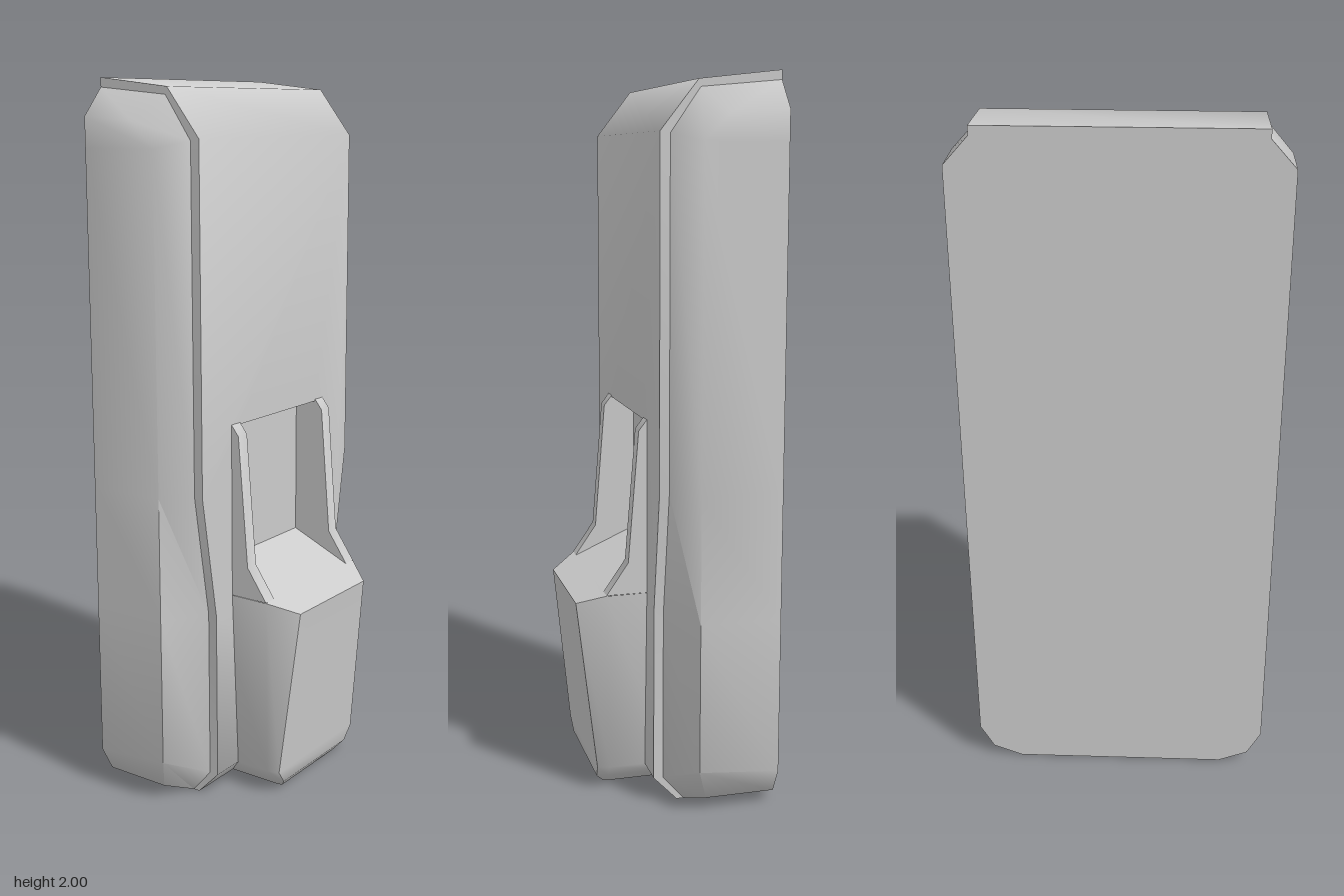
import * as THREE from 'three';
import { mergeGeometries, toCreasedNormals } from 'three/addons/utils/BufferGeometryUtils.js';

const BACK = -0.257;
const CREASE = 0.9;

// Skin rows of points (rows run top to bottom, columns left to right); skip(row, col) leaves a gap.
function loft(rows, skip = () => false) {
  const pos = [];
  const tri = (a, b, c) => {
    const [A, B, C] = [a, b, c].map((p) => new THREE.Vector3(...p));
    if (B.sub(A).cross(C.sub(A)).length() > 1e-8) pos.push(...a, ...b, ...c);
  };
  for (let i = 0; i < rows.length - 1; i++) {
    for (let j = 0; j < rows[i].length - 1; j++) {
      if (skip(i, j)) continue;
      const a = rows[i][j], b = rows[i + 1][j], c = rows[i + 1][j + 1], d = rows[i][j + 1];
      tri(a, b, c);
      tri(a, c, d);
    }
  }
  const g = new THREE.BufferGeometry();
  g.setAttribute('position', new THREE.Float32BufferAttribute(pos, 3));
  return g;
}

const flip = (row) => row.map(([x, y, z]) => [-x, y, z]).reverse();
const symmetric = (half) => [...flip(half), ...half];

// Flat polygon from half an outline, mirrored in x
function flatShape(half) {
  const pts = [...half, ...half.map(([x, y]) => [-x, y]).reverse()];
  return new THREE.Shape(pts.map(([x, y]) => new THREE.Vector2(x, y)));
}

function bare(geometry) {
  const g = geometry.index ? geometry.toNonIndexed() : geometry;
  g.deleteAttribute('uv');
  g.deleteAttribute('normal');
  return g;
}

export function createModel() {
  const group = new THREE.Group();
  const material = new THREE.MeshStandardMaterial({ color: 0xcccccc, side: THREE.DoubleSide });
  const add = (name, geometry) => {
    const mesh = new THREE.Mesh(toCreasedNormals(bare(geometry), CREASE), material);
    mesh.name = name;
    group.add(mesh);
  };

  // Side rails: panel edge, chamfer edge, back edge at each height
  const rail = [
    [[0.363, 1.975, BACK], [0.363, 1.975, BACK], [0.363, 1.975, BACK]],
    [[0.363, 1.955, -0.04], [0.43, 1.89, -0.1], [0.43, 1.9, BACK]],
    [[0.363, 1.84, 0.04], [0.43, 1.82, -0.03], [0.43, 1.82, BACK]],
    [[0.363, 0.9, 0.04], [0.43, 0.9, -0.03], [0.43, 0.9, BACK]],
    [[0.305, 0.55, 0.04], [0.43, 0.55, -0.03], [0.43, 0.55, BACK]],
    [[0.305, 0.07, 0.04], [0.43, 0.13, -0.03], [0.43, 0.11, BACK]],
    [[0.305, 0, -0.02], [0.39, 0.035, -0.06], [0.39, 0.035, BACK]],
    [[0.305, 0, BACK], [0.305, 0, BACK], [0.305, 0, BACK]],
  ];
  add('leftRail', loft(rail));
  add('rightRail', loft(rail.map(flip)));

  // Raised centre panel wrapping over the top and under the bottom: half width, y, z
  const panel = [
    [0.363, 2, BACK], [0.363, 1.975, -0.035], [0.363, 1.845, 0.067], [0.363, 0.9, 0.067],
    [0.305, 0.55, 0.067], [0.305, 0.07, 0.067], [0.305, 0, 0], [0.305, 0, BACK],
  ];
  const wrap = loft(
    panel.map(([w, y, z]) => symmetric([[w, y, z], [w, y, BACK]])),
    (i, j) => j === 1 && i >= 2 && i <= 4,
  );
  // Flat front of the panel with the recess opening
  const front = flatShape(panel.slice(2, 6));
  const hole = flatShape([[0.19, 1.075], [0.19, 0.6]]);
  front.holes.push(new THREE.Path(hole.getPoints()));
  const frontFace = new THREE.ShapeGeometry(front).translate(0, 0, 0.067);
  add('frontPanel', mergeGeometries([wrap, bare(frontFace)]));

  // Flat back
  const back = flatShape([[0.363, 2], [0.363, 1.975], [0.43, 1.9], [0.43, 0.11], [0.39, 0.035], [0.305, 0]]);
  add('backPlate', new THREE.ShapeGeometry(back).rotateY(Math.PI).translate(0, 0, BACK));

  // Recess ceiling and floor
  add('recess', loft([[1.075, 0.067], [1.07, 0], [0.67, 0]].map(([y, z]) => symmetric([[0.19, y, z]]))));

  // Thin walls on both sides of the recess, profile as z, y
  const wall = new THREE.Shape([
    [0, 0.59], [0.182, 0.59], [0.12, 0.68], [0.09, 1.05], [0.067, 1.08], [0, 1.08],
  ].map(([z, y]) => new THREE.Vector2(z, y)));
  for (const [name, x] of [['leftRecessWall', 0.19], ['rightRecessWall', -0.23]]) {
    const g = new THREE.ExtrudeGeometry(wall, { depth: 0.04, bevelEnabled: false });
    add(name, g.rotateY(-Math.PI / 2).translate(x + 0.04, 0, 0).scale(1, 1, 1));
  }

  // Sloping ledge running from the recess floor out to the lip
  add('ledge', loft([
    [0.19, 0.67, 0], [0.19, 0.59, 0.18], [0.23, 0.589, 0.182], [0.17, 0.555, 0.257],
  ].map((p) => symmetric([p]))));

  // Tapered lower block: front edge, shoulder, base at each height
  const block = [
    [[0.17, 0.555, 0.257], [0.23, 0.589, 0.182], [0.23, 0.59, 0]],
    [[0.195, 0.07, 0.204], [0.205, 0.07, 0.17], [0.205, 0.07, 0]],
    [[0.165, 0.03, 0.2], [0.17, 0.03, 0.168], [0.17, 0.03, 0]],
    [[0.135, 0, 0.175], [0.14, 0, 0.165], [0.14, 0, -0.02]],
    [[0.135, 0, -0.02], [0.14, 0, -0.02], [0.14, 0, -0.02]],
  ];
  add('lowerBlock', loft(block.map(symmetric)));

  return group;
}
